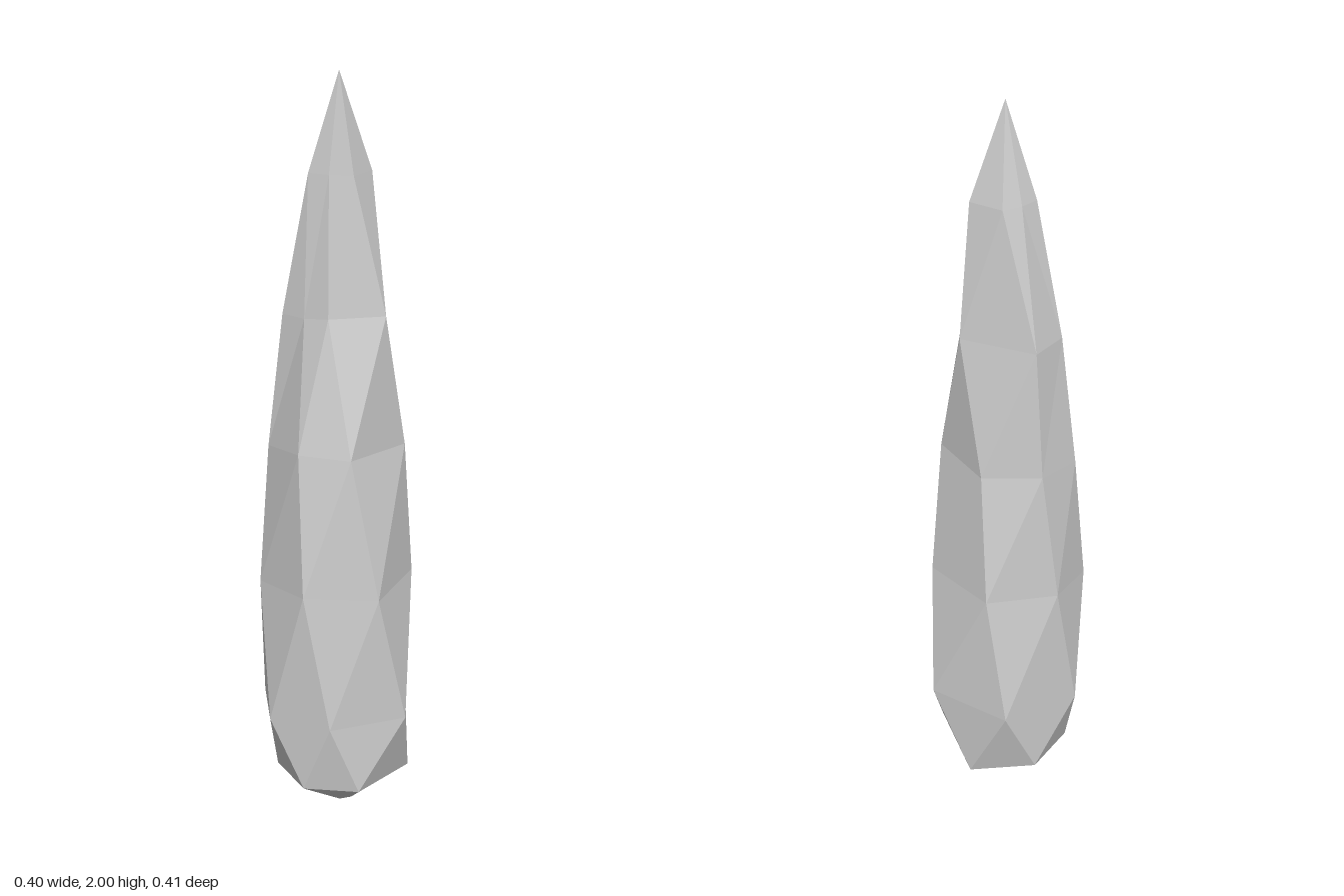
import * as THREE from 'three';

// Six-sided rings [x, y, z], each starting near the front and running towards +x.
// Odd rings sit half a step round from even ones, giving staggered facets.
const RINGS = [
  // underside
  [[0.015, 0, 0.045], [0.045, 0, 0.03], [0.045, 0, 0], [0.015, 0, -0.01], [-0.015, 0, 0], [-0.015, 0, 0.03]],
  // lower bevel
  [[0.08, 0.09, 0.175], [0.2, 0.1, 0.01], [0.07, 0.05, -0.16], [-0.11, 0.08, -0.13], [-0.16, 0.09, 0.02], [-0.07, 0.09, 0.17]],
  // widest ring
  [[0.005, 0.28, 0.203], [0.2, 0.29, 0.118], [0.178, 0.3, -0.147], [-0.045, 0.28, -0.205], [-0.203, 0.28, -0.048], [-0.163, 0.28, 0.145]],
  // body
  [[0.13, 0.64, 0.163], [0.2, 0.65, -0.06], [0.012, 0.65, -0.19], [-0.163, 0.65, -0.105], [-0.2, 0.64, 0.043], [-0.067, 0.65, 0.19]],
  [[0.055, 1.02, 0.152], [0.181, 1.02, -0.017], [0.04, 1, -0.13], [-0.122, 1.02, -0.12], [-0.18, 1.01, 0.003], [-0.083, 1.03, 0.145]],
  // taper
  [[0.134, 1.38, 0.045], [0.105, 1.38, -0.09], [-0.1, 1.37, -0.105], [-0.14, 1.37, 0.002], [-0.077, 1.37, 0.052], [-0.01, 1.38, 0.095]],
  [[0.05, 1.74, 0.045], [0.088, 1.74, -0.048], [-0.005, 1.74, -0.078], [-0.045, 1.74, -0.042], [-0.071, 1.74, 0.005], [-0.015, 1.74, 0.03]],
];
const TIP = [0.007, 2, -0.005];
const BASE = [0.015, 0, 0.017];

export function createModel() {
  const pos = [];
  const tri = (a, b, c) => pos.push(...a, ...b, ...c);
  const last = RINGS.length - 1;

  for (let i = 0; i < 6; i++) {
    const j = (i + 1) % 6;
    // facets between neighbouring rings
    for (let r = 0; r < last; r++) {
      const lo = RINGS[r], up = RINGS[r + 1];
      if (r % 2 === 0) {
        tri(lo[i], lo[j], up[i]);
        tri(lo[j], up[j], up[i]);
      } else {
        tri(lo[i], lo[j], up[j]);
        tri(lo[i], up[j], up[i]);
      }
    }
    // closed base and pointed tip
    tri(BASE, RINGS[0][j], RINGS[0][i]);
    tri(RINGS[last][i], RINGS[last][j], TIP);
  }

  const geometry = new THREE.BufferGeometry();
  geometry.setAttribute('position', new THREE.Float32BufferAttribute(pos, 3));
  geometry.computeVertexNormals();

  const shard = new THREE.Mesh(geometry, new THREE.MeshStandardMaterial({ color: 0xcccccc, flatShading: true }));
  shard.name = 'crystalShard';

  const group = new THREE.Group();
  group.name = 'crystal';
  group.add(shard);
  return group;
}
